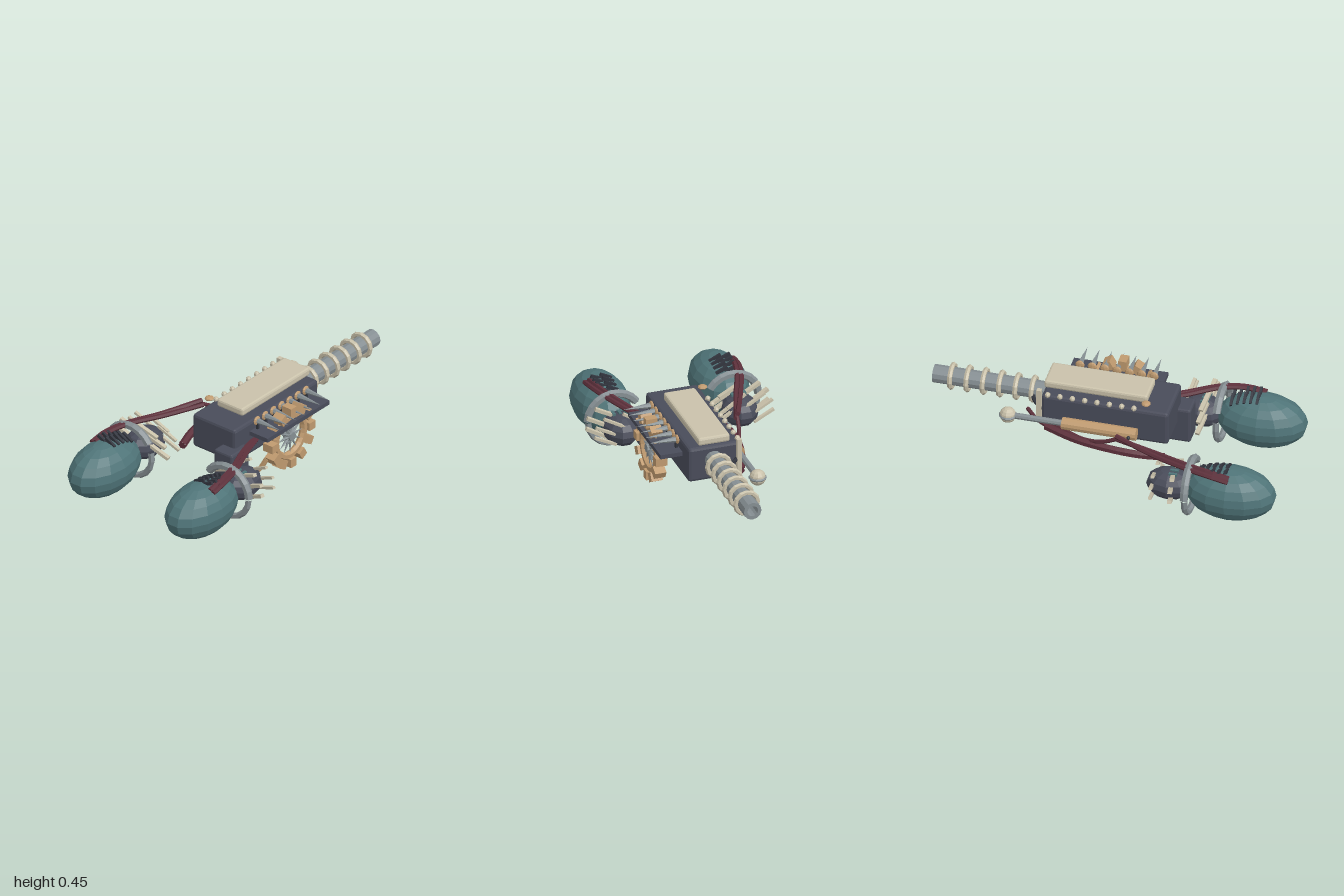
import * as THREE from 'three';
import { RoundedBoxGeometry } from 'three/addons/geometries/RoundedBoxGeometry.js';

const paint = (name, color) => {
  const m = new THREE.MeshStandardMaterial({ color });
  m.name = name;
  return m;
};
const V = (x, y, z) => new THREE.Vector3(x, y, z);

export function createModel() {
  const navy = paint('navy hull', 0x494c5a);
  const shadow = paint('dark iron', 0x33363f);
  const teal = paint('teal shell', 0x4f7478);
  const cream = paint('cream bone', 0xc9c1aa);
  const tan = paint('tan brass', 0xbf9a6f);
  const maroon = paint('maroon cable', 0x5e313c);
  const steel = paint('grey steel', 0x868f93);
  const model = new THREE.Group();
  model.name = 'model';

  // Adds a faceted mesh to a parent
  function add(name, geometry, material, pos = [0, 0, 0], rot = [0, 0, 0], parent = model) {
    const g = geometry.index ? geometry.toNonIndexed() : geometry;
    g.computeVertexNormals();
    const mesh = new THREE.Mesh(g, material);
    mesh.name = name;
    mesh.position.set(...pos);
    mesh.rotation.set(...rot);
    parent.add(mesh);
    return mesh;
  }
  const box = (w, h, d, r = 0.012) => new RoundedBoxGeometry(w, h, d, 1, r);
  const cyl = (r1, r2, h, n = 10) => new THREE.CylinderGeometry(r1, r2, h, n);
  const H = Math.PI / 2;

  // Cable with closed ends along a smooth path
  function cable(name, points, radius, material = maroon, parent = model) {
    const curve = new THREE.CatmullRomCurve3(points);
    add(name, new THREE.TubeGeometry(curve, 16, radius, 6), material, [0, 0, 0], [0, 0, 0], parent);
    for (const t of [0, 1]) {
      const cap = add(name + 'End', new THREE.CircleGeometry(radius, 6), material, [0, 0, 0], [0, 0, 0], parent);
      const p = curve.getPoint(t), dir = curve.getTangent(t).multiplyScalar(t ? 1 : -1);
      cap.position.copy(p);
      cap.quaternion.setFromUnitVectors(V(0, 0, 1), dir);
    }
  }

  // Straight bar between two points
  function bar(name, a, b, w, h, material, parent) {
    const mesh = add(name, new THREE.BoxGeometry(w, h, a.distanceTo(b) + 0.012), material, [0, 0, 0], [0, 0, 0], parent);
    mesh.position.copy(a).add(b).multiplyScalar(0.5);
    mesh.lookAt(b);
  }

  // Hull
  add('hull', box(0.295, 0.2, 0.7, 0.016), navy, [0.078, 0.3, -0.02]);
  add('topPlate', box(0.18, 0.045, 0.57), cream, [0.08, 0.432, -0.085]);
  add('plateBase', new THREE.BoxGeometry(0.13, 0.02, 0.48), shadow, [0.08, 0.405, -0.085]);
  add('lowerBlock', box(0.125, 0.21, 0.15), navy, [0.198, 0.185, 0.325]);

  // Small studs and posts along the hull's right edge
  for (let i = 0; i < 8; i++) {
    add('edgeStud', new THREE.SphereGeometry(0.016, 6, 5), cream, [-0.062, 0.405, 0.14 - i * 0.068]);
  }
  add('rearPost', new THREE.BoxGeometry(0.026, 0.2, 0.026), cream, [-0.053, 0.325, -0.385]);
  const bead = add('edgeBead', new THREE.SphereGeometry(0.026, 8, 6), tan, [-0.055, 0.444, 0.205]);
  bead.scale.y = 0.45;

  // Barrel with a hollow muzzle
  const bore = [[0, -0.08], [0.03, -0.08], [0.03, 0.65], [0.05, 0.65], [0.05, 0]];
  const profile = bore.map(([r, y]) => new THREE.Vector2(r, y)).reverse();
  add('barrel', new THREE.LatheGeometry(profile, 12), steel, [0.085, 0.32, -0.35], [-H, 0, 0]);
  add('boreFloor', new THREE.CircleGeometry(0.031, 12), shadow, [0.085, 0.32, -0.85], [0, Math.PI, 0]);
  for (let i = 0; i < 6; i++) {
    add('barrelRing', new THREE.TorusGeometry(0.063, 0.014, 6, 12), cream, [0.085, 0.32, -0.45 - i * 0.09]);
  }

  // Piston on the right side
  add('pistonSleeve', cyl(0.034, 0.034, 0.41, 12), tan, [-0.103, 0.265, -0.04], [H, 0, 0]);
  add('pistonRod', cyl(0.017, 0.017, 0.3, 8), steel, [-0.103, 0.265, -0.37], [H, 0, 0]);
  add('pistonBall', new THREE.SphereGeometry(0.045, 10, 8), cream, [-0.103, 0.265, -0.545]);
  add('ballBand', new THREE.TorusGeometry(0.042, 0.008, 5, 12), steel, [-0.103, 0.265, -0.545], [H, 0, 0]);
  add('sleeveKnob', new THREE.SphereGeometry(0.011, 6, 5), shadow, [-0.143, 0.265, 0.13]);

  // Shelf with a row of spikes
  add('shelf', new THREE.BoxGeometry(0.125, 0.024, 0.52), navy, [0.298, 0.343, -0.04]);
  for (let i = 0; i < 7; i++) {
    const z = 0.17 - i * 0.068;
    add('spike', new THREE.ConeGeometry(0.017, 0.155, 6), steel, [0.328, 0.403, z], [0, 0, -H]);
    const seat = add('spikeSeat', new THREE.SphereGeometry(0.026, 8, 6), tan, [0.246, 0.403, z]);
    seat.scale.x = 0.45;
    add('spikeStem', new THREE.BoxGeometry(0.014, 0.05, 0.014), shadow, [0.25, 0.375, z]);
  }

  // Toothed wheel with radial needles
  const wheel = new THREE.Group();
  wheel.name = 'wheel';
  wheel.position.set(0.317, 0.253, -0.015);
  wheel.rotation.y = H;
  model.add(wheel);
  add('wheelRim', new THREE.TorusGeometry(0.118, 0.021, 6, 24), tan, [0, 0, 0], [0, 0, 0], wheel);
  add('wheelHub', cyl(0.026, 0.026, 0.05, 8), steel, [0, 0, 0], [H, 0, 0], wheel);
  add('axle', cyl(0.015, 0.015, 0.13, 8), shadow, [0, 0, -0.06], [H, 0, 0], wheel);
  for (let i = 0; i < 12; i++) {
    const a = i * Math.PI / 6, c = Math.cos(a), s = Math.sin(a);
    add('tooth', new THREE.BoxGeometry(0.05, 0.046, 0.064), tan, [0.157 * c, 0.157 * s, 0], [0, 0, a], wheel);
    add('needle', new THREE.ConeGeometry(0.012, 0.095, 5), steel, [0.06 * c, 0.06 * s, 0.005], [0, 0, a - H], wheel);
  }
  cable('brassPipe', [V(0.18, 0.066, 0.27), V(0.2, 0.07, 0.21), V(0.25, 0.095, 0.165), V(0.29, 0.17, 0.14)], 0.015, tan);

  // Paired front pods; the mirrored one swaps signs by s
  for (const s of [-1, 1]) {
    const pod = new THREE.Group();
    pod.name = s > 0 ? 'leftPod' : 'rightPod';
    pod.position.set(0.335 * s, 0.16, 0);
    model.add(pod);
    const part = (n, g, m, p, r) => add(n, g, m, p, r, pod);

    part('podShell', new THREE.SphereGeometry(1, 14, 10).scale(0.152, 0.15, 0.25), teal, [0, 0, 0.745]);
    part('podCore', new THREE.SphereGeometry(1, 10, 8).scale(0.1, 0.085, 0.13), navy, [0, 0, 0.41]);

    // Split collar: a wide upper arc and a slimmer lower arc
    const upper = Math.PI * 0.8, lower = Math.PI * 1.08;
    part('collarUpper', new THREE.TorusGeometry(0.148, 0.023, 6, 9, upper), steel, [0, 0.005, 0.525],
      [0, 0, s > 0 ? 0.05 : Math.PI - upper - 0.05]);
    part('collarLower', new THREE.TorusGeometry(0.146, 0.018, 6, 10, lower), steel, [0, 0.004, 0.525],
      [0, 0, s > 0 ? -lower : Math.PI]);

    // Bent claws gripping the core
    for (const deg of [-12, 22, 56, 112, 146, 178]) {
      const a = deg * Math.PI / 180;
      const at = (r, z) => V(s * r * Math.cos(a), r * 0.85 * Math.sin(a), z);
      const [p, q, r] = [at(0.108, 0.5), at(0.145, 0.385), at(0.085, 0.285)];
      bar('clawArm', p, q, 0.024, 0.018, cream, pod);
      bar('clawTip', q, r, 0.018, 0.014, cream, pod);
    }

    // Chevrons on the crown and vents on the core
    for (let i = 0; i < 5; i++) {
      const z = 0.585 + i * 0.036;
      const y = 0.15 * Math.sqrt(1 - ((z - 0.745) / 0.25) ** 2);
      for (const k of [-1, 1]) {
        bar('chevron', V(k * 0.052, y - 0.003, z - 0.015), V(0, y + 0.008, z + 0.012), 0.014, 0.018, shadow, pod);
      }
    }
    for (const x of [-0.035, 0, 0.035]) {
      part('coreVent', new THREE.BoxGeometry(0.016, 0.014, 0.045), teal, [x, 0.083, 0.435]);
    }

    // Twin cables running over the collar back to the hull
    for (const k of [0, 1]) {
      const d = k * 0.024;
      const tail = s > 0
        ? [V(0.285 - d, 0.285, 0.3), V(0.235 - d / 2, 0.28, 0.16)]
        : [V(-0.305 + d, 0.3, 0.31), V(-0.21 + d / 3, 0.315 - d, 0.08)];
      cable('podCable', [V(s * (0.42 - d), 0.283 + d * 0.4, 0.75), V(s * (0.415 - d), 0.3 + d * 0.4, 0.65),
        V(s * (0.385 - d), 0.305 + d * 0.3, 0.52), ...tail], 0.014);
    }
  }

  // Loose hose along the right side, and its dark link to the barrel
  cable('sideHose', [V(-0.14, 0.175, 0.33), V(-0.175, 0.19, 0.2), V(-0.18, 0.2, 0.05),
    V(-0.15, 0.205, -0.15), V(-0.08, 0.21, -0.34)], 0.022);
  cable('hoseLink', [V(-0.08, 0.21, -0.33), V(-0.04, 0.215, -0.4), V(0.03, 0.225, -0.47)], 0.011, maroon);
  cable('barrelLead', [V(-0.05, 0.3, -0.36), V(-0.02, 0.31, -0.41), V(0.04, 0.32, -0.45)], 0.011, shadow);
  cable('crossCable', [V(-0.21, 0.3, 0.09), V(-0.19, 0.25, 0), V(-0.14, 0.21, -0.12), V(-0.06, 0.215, -0.3)], 0.011);

  return model;
}
